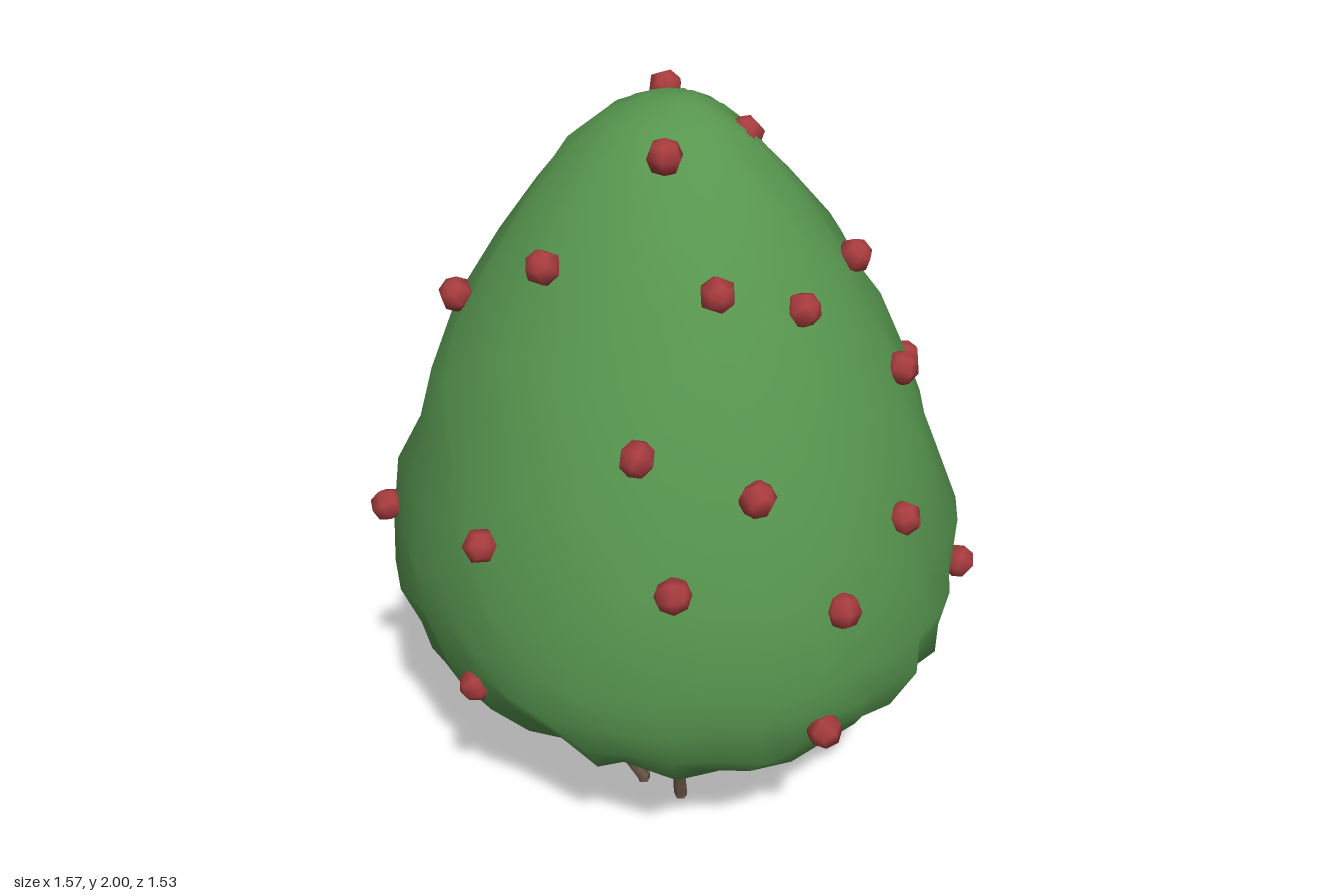
import * as THREE from 'three';

const foliageMat = new THREE.MeshStandardMaterial({ color: 0x57964f });
foliageMat.name = 'leaf green';
foliageMat.side = THREE.DoubleSide;
const berryMat = new THREE.MeshStandardMaterial({ color: 0xa83c3e });
berryMat.name = 'berry red';
const barkMat = new THREE.MeshStandardMaterial({ color: 0x6b5848 });
barkMat.name = 'bark brown';

// Foliage outline from the underside to the tip: [radius, height]
const PROFILE = [
  [0, 0.26], [0.16, 0.26], [0.32, 0.27], [0.46, 0.31], [0.58, 0.37], [0.66, 0.43], [0.71, 0.5], [0.74, 0.59],
  [0.75, 0.7], [0.74, 0.85], [0.71, 1.0], [0.665, 1.15], [0.61, 1.3], [0.54, 1.45],
  [0.455, 1.6], [0.36, 1.75], [0.25, 1.88], [0.17, 1.95], [0.08, 1.99], [0, 1.995],
];

// Berry positions on the foliage surface
const BERRIES = [
  [0.12, 1.92, 0.21], [-0.16, 1.95, -0.15], [0.12, 1.89, -0.12], [-0.05, 1.68, 0.46], [0.33, 1.65, 0.28],
  [0.45, 1.58, 0.1], [-0.47, 1.57, 0.02], [-0.4, 1.5, 0.41], [0.38, 1.59, -0.24], [0.31, 1.33, 0.56],
  [0.54, 1.23, 0.4], [0.55, 1.33, -0.22], [-0.63, 1.14, 0.23], [-0.07, 1.02, 0.71], [0.43, 1.01, 0.58],
  [0.69, 1.02, -0.04], [0.7, 0.9, 0.25], [-0.56, 0.89, 0.57], [-0.75, 0.85, -0.14], [-0.13, 0.56, 0.7],
  [0.69, 0.55, 0.29], [0.67, 0.69, -0.41], [0.16, 0.68, -0.73], [0.02, 1.47, -0.53], [0.41, 1.22, -0.48],
  [-0.01, 1.23, -0.62], [-0.09, 1.75, -0.34], [-0.41, 1.52, -0.28], [-0.54, 1.0, -0.51], [-0.43, 1.19, -0.51],
  [-0.45, 0.53, -0.57],
];

// Further points on the crown: flatter back, fuller sides
const SHAPE_POINTS = [
  [0, 0.75, -0.71], [0, 0.5, -0.68], [0, 1.0, -0.69], [-0.3, 0.8, -0.67], [-0.78, 0.6, 0.15], [0.78, 0.72, -0.12],
];

// Stems: foot, knee and top x, then foot, knee and top z
const STEMS = [
  [0.17, 0.19, 0.24, 0.21, 0.24, 0.22], [0.14, 0.13, 0.16, -0.05, -0.07, -0.13],
  [-0.07, -0.09, -0.12, 0.02, 0.0, 0.02], [-0.17, -0.18, -0.24, 0.08, 0.05, 0.05],
  [0.04, -0.02, 0.0, 0.22, 0.26, 0.29], [0.05, 0.09, 0.12, 0.08, 0.13, 0.15],
];

function seeded(seed) {
  return () => {
    seed = (seed * 16807) % 2147483647;
    return seed / 2147483647;
  };
}

// Outline radius at a height on the outer side of the crown
function outlineRadius(y) {
  const i = PROFILE.findLastIndex(([, h], k) => h <= y && k < PROFILE.length - 1);
  const [r0, h0] = PROFILE[i], [r1, h1] = PROFILE[i + 1];
  return r0 + ((r1 - r0) * (y - h0)) / (h1 - h0);
}

// Dents and bulges that bring the crown surface just under the berries
const BULGES = [...BERRIES, ...SHAPE_POINTS].map(([x, y, z]) => ({
  at: new THREE.Vector3(x, y, z),
  amount: Math.hypot(x, z) - outlineRadius(y) - 0.012,
}));
function bulge(point) {
  let sum = 0, total = 0.12;
  for (const { at, amount } of BULGES) {
    const w = Math.exp(-at.distanceToSquared(point) / 0.04);
    sum += w * amount;
    total += w;
  }
  return sum / total;
}

// Lathed crown with a ragged surface; the soft normals of the plain crown are kept
function makeFoliage() {
  const sides = 40, rows = PROFILE.length;
  const geo = new THREE.LatheGeometry(PROFILE.map(([r, y]) => new THREE.Vector2(r, y)), sides);
  const pos = geo.attributes.position;
  const rand = seeded(4711);
  const jitter = Array.from({ length: sides * rows }, () => [rand() - 0.5, rand() - 0.5, rand() - 0.5]);
  const p = new THREE.Vector3();
  for (let i = 0; i < pos.count; i++) {
    const row = i % rows, col = Math.floor(i / rows) % sides;
    if (row === 0 || row === rows - 1) continue;
    const [a, b, c] = jitter[col * rows + row];
    p.fromBufferAttribute(pos, i);
    const angle = Math.atan2(p.z, p.x) + b * 0.08;
    const rough = p.y > 1.9 ? 0.015 : p.y < 0.65 ? 0.05 : 0.035;
    const r = Math.max(0.03, Math.hypot(p.x, p.z) + bulge(p) + a * rough);
    const rise = p.y > 1.94 ? 0 : c * rough;
    pos.setXYZ(i, r * Math.cos(angle), p.y + rise, r * Math.sin(angle));
  }
  const mesh = new THREE.Mesh(geo, foliageMat);
  mesh.name = 'foliage';
  return mesh;
}

export function createModel() {
  const model = new THREE.Group();
  model.name = 'berryBush';
  model.add(makeFoliage());

  // Berries, each turned differently
  const berries = new THREE.Group();
  berries.name = 'berries';
  const berryGeo = new THREE.SphereGeometry(0.047, 6, 4);
  BERRIES.forEach(([x, y, z], i) => {
    const berry = new THREE.Mesh(berryGeo, berryMat);
    berry.name = 'berry';
    berry.position.set(x, y, z);
    berry.rotation.set(i * 1.3, i * 0.7, i * 2.1);
    berries.add(berry);
  });
  model.add(berries);

  // Stems with a kink partway up
  const stems = new THREE.Group();
  stems.name = 'stems';
  for (const [x0, x1, x2, z0, z1, z2] of STEMS) {
    const foot = new THREE.Vector3(x0, 0.01, z0);
    const knee = new THREE.Vector3(x1, 0.13, z1);
    const path = new THREE.CurvePath();
    path.add(new THREE.LineCurve3(foot, knee));
    path.add(new THREE.LineCurve3(knee, new THREE.Vector3(x2, 0.33, z2)));
    const stem = new THREE.Mesh(new THREE.TubeGeometry(path, 6, 0.02, 5), barkMat);
    stem.name = 'stem';
    // Closed foot
    const cap = new THREE.Mesh(new THREE.CylinderGeometry(0.019, 0.019, 0.02, 5), barkMat);
    cap.name = 'stemFoot';
    cap.position.copy(foot);
    stems.add(stem, cap);
  }
  model.add(stems);
  return model;
}
